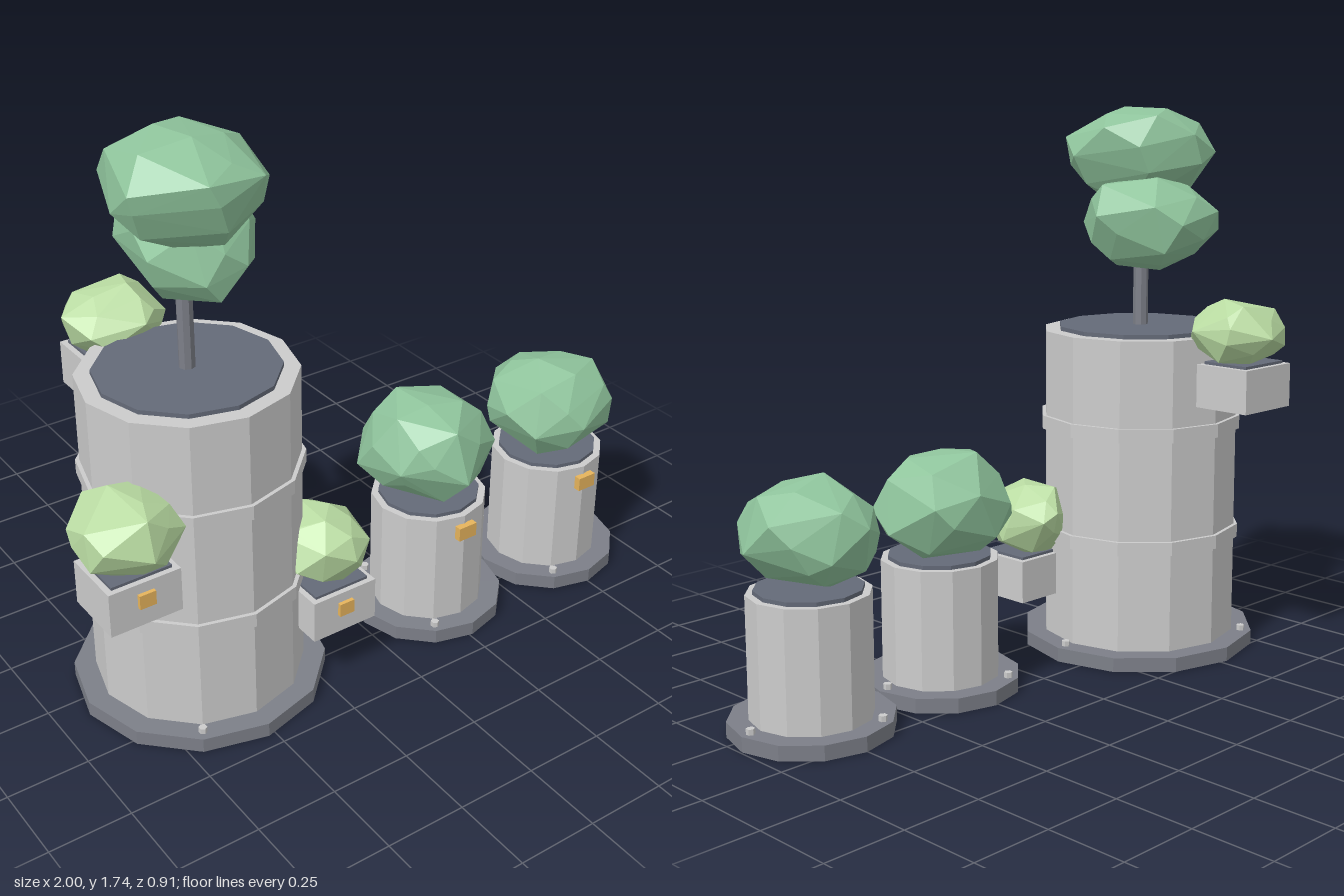
import * as THREE from 'three';
import { ConvexGeometry } from 'three/addons/geometries/ConvexGeometry.js';

const material = (color) => new THREE.MeshStandardMaterial({ color, flatShading: true });
const grey = material(0xcccccc);
const darkMetal = material(0x7c7f88);
const soilMat = material(0x646a78);
const darkLeaf = material(0x8fc49c);
const lightLeaf = material(0xb9dba2);
const amber = material(0xe6b45c);

function add(parent, name, geometry, mat, x, y, z) {
  const mesh = new THREE.Mesh(geometry, mat);
  mesh.name = name;
  mesh.position.set(x, y, z);
  parent.add(mesh);
  return mesh;
}

// Twelve-sided upright cylinder between two heights
function drum(parent, name, radius, y0, y1, mat, sides = 12, x = 0, z = 0) {
  return add(parent, name, new THREE.CylinderGeometry(radius, radius, y1 - y0, sides), mat, x, (y0 + y1) / 2, z);
}

function seededRandom(seed) {
  let s = seed * 7919 + 17;
  return () => (s = (s * 16807) % 2147483647) / 2147483647;
}

// Faceted bush: hull of jittered sphere points, fitted to the box min..max
function bush(parent, name, seed, min, max, mat) {
  const rand = seededRandom(seed);
  for (let i = 0; i < 5; i++) rand();
  const points = [];
  const count = 30;
  for (let i = 0; i < count; i++) {
    const y = 1 - (2 * (i + 0.5)) / count;
    const angle = i * 2.39996 + (rand() - 0.5) * 0.7 + seed;
    const r = Math.sqrt(1 - y * y);
    points.push(new THREE.Vector3(r * Math.cos(angle), y, r * Math.sin(angle)).multiplyScalar(0.9 + 0.2 * rand()));
  }
  const box = new THREE.Box3().setFromPoints(points);
  const size = box.getSize(new THREE.Vector3());
  const lo = new THREE.Vector3(...min), hi = new THREE.Vector3(...max);
  const target = hi.clone().sub(lo);
  for (const p of points) p.sub(box.min).divide(size).subScalar(0.5).multiply(target);
  const c = lo.add(hi).multiplyScalar(0.5);
  return add(parent, name, new ConvexGeometry(points), mat, c.x, c.y, c.z);
}

// Base plate with three bolts
function basePlate(parent, radius, boltRadius) {
  drum(parent, 'basePlate', radius, 0, 0.045, darkMetal);
  for (let i = 0; i < 3; i++) {
    const a = (i * Math.PI * 2) / 3;
    drum(parent, 'bolt', 0.013, 0.04, 0.062, grey, 6, boltRadius * Math.cos(a), boltRadius * Math.sin(a));
  }
}

function group(parent, name, x, y, z) {
  const g = new THREE.Group();
  g.name = name;
  g.position.set(x, y, z);
  parent.add(g);
  return g;
}

export function createModel() {
  const model = new THREE.Group();
  model.name = 'barrelPlanters';

  // Tall barrel with bands, soil and a small tree
  const barrel = group(model, 'barrel', -0.522, 0, 0.076);
  basePlate(barrel, 0.38, 0.345);
  drum(barrel, 'barrelBody', 0.315, 0.04, 1.035, grey);
  for (const y of [0.36, 0.72]) drum(barrel, 'barrelBand', 0.327, y, y + 0.043, grey);
  drum(barrel, 'barrelSoil', 0.267, 1.02, 1.048, soilMat);
  drum(barrel, 'trunk', 0.024, 1.04, 1.45, darkMetal, 8);
  bush(model, 'lowerCrown', 3, [-0.635, 1.23, -0.21], [-0.262, 1.53, 0.22], darkLeaf);
  bush(model, 'upperCrown', 8, [-0.73, 1.435, -0.14], [-0.295, 1.738, 0.32], darkLeaf);

  // Hanging boxes on the barrel: box centre, bush limits, tag on the front pair
  const boxes = [
    { at: [-0.85, 0.568, 0.28], min: [-1, 0.64, 0.115], max: [-0.71, 0.865, 0.435], tag: true },
    { at: [-0.192, 0.252, 0.272], min: [-0.342, 0.32, 0.105], max: [-0.055, 0.548, 0.405], tag: true },
    { at: [-0.56, 0.89, -0.315], min: [-0.71, 0.955, -0.457], max: [-0.41, 1.16, -0.15], tag: false },
  ];
  boxes.forEach(({ at, min, max, tag }, i) => {
    const g = group(model, 'hangingBox', ...at);
    add(g, 'box', new THREE.BoxGeometry(0.22, 0.135, 0.194), grey, 0, 0, 0);
    add(g, 'boxSoil', new THREE.BoxGeometry(0.185, 0.02, 0.16), soilMat, 0, 0.066, 0);
    if (tag) add(g, 'boxTag', new THREE.BoxGeometry(0.05, 0.043, 0.02), amber, 0, 0.015, 0.099);
    bush(model, 'boxBush', 11 + i, min, max, lightLeaf);
  });

  // Two short pots with bushes
  [0.26, 0.752].forEach((x, i) => {
    const pot = group(model, 'shortPot', x, 0, 0.185);
    basePlate(pot, 0.243, 0.213);
    drum(pot, 'potBody', 0.18, 0.04, 0.41, grey);
    drum(pot, 'potSoil', 0.158, 0.4, 0.422, soilMat);
    add(pot, 'potTag', new THREE.BoxGeometry(0.065, 0.045, 0.022), amber, 0, 0.36, 0.187);
    bush(pot, 'potBush', 21 + i, [-0.2, 0.42, -0.208], [0.2, 0.74, 0.203], darkLeaf);
  });
  return model;
}
